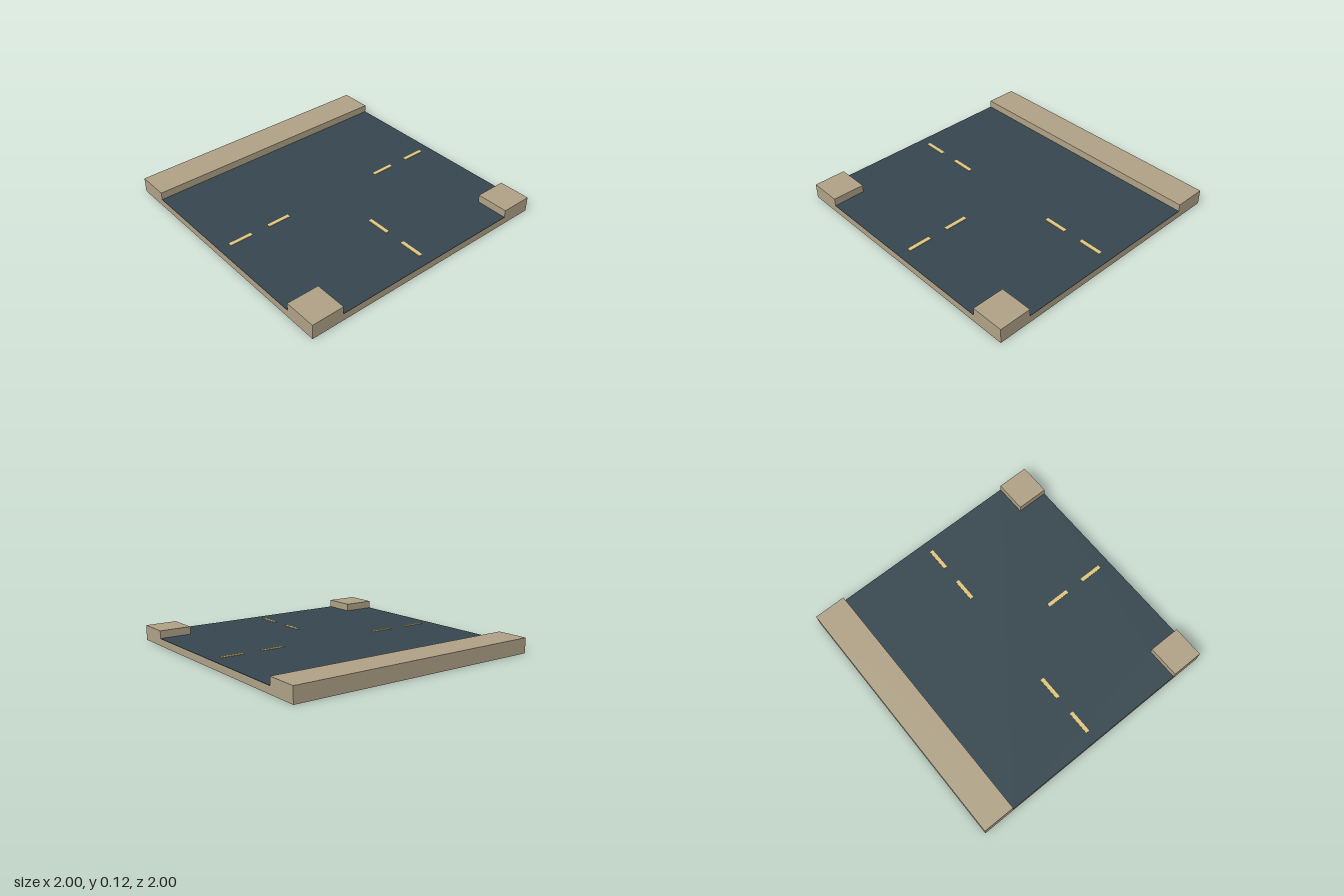
import * as THREE from 'three';

const BASE_TOP = 0.053, ROAD_TOP = 0.057, KERB_TOP = 0.115, DASH_TOP = 0.061;
const EDGE = 0.754; // where the road meets the raised pavement

export function createModel() {
  const group = new THREE.Group();
  const stone = new THREE.MeshStandardMaterial({ color: 0xb0a287 });
  const asphalt = new THREE.MeshStandardMaterial({ color: 0x37474f });
  const paint = new THREE.MeshStandardMaterial({ color: 0xe2c67c });

  const add = (name, geometry, material) => {
    const mesh = new THREE.Mesh(geometry, material);
    mesh.name = name;
    group.add(mesh);
    return mesh;
  };
  // Box given by its extents on each axis
  const block = (name, material, [x0, x1], [y0, y1], [z0, z1]) =>
    add(name, new THREE.BoxGeometry(x1 - x0, y1 - y0, z1 - z0), material)
      .position.set((x0 + x1) / 2, (y0 + y1) / 2, (z0 + z1) / 2);

  // Square base slab
  block('baseSlab', stone, [-1, 1], [0, BASE_TOP], [-1, 1]);

  // T-shaped road surface, drawn in plan (shape y = -z)
  const plan = new THREE.Shape([
    [-1, EDGE], [-1, -EDGE], [-EDGE, -EDGE], [-EDGE, -1],
    [EDGE, -1], [EDGE, -EDGE], [1, -EDGE], [1, EDGE],
  ].map(([x, y]) => new THREE.Vector2(x, y)));
  const road = new THREE.ExtrudeGeometry(plan, { depth: ROAD_TOP - BASE_TOP, bevelEnabled: false });
  road.rotateX(-Math.PI / 2).translate(0, BASE_TOP, 0);
  add('roadSurface', road, asphalt);

  // Raised pavement: long strip at the back, a block in each front corner
  const kerb = [BASE_TOP, KERB_TOP];
  block('backPavement', stone, [-1, 1], kerb, [-1, -EDGE]);
  block('leftCornerPavement', stone, [EDGE, 1], kerb, [EDGE, 1]);
  block('rightCornerPavement', stone, [-1, -EDGE], kerb, [EDGE, 1]);

  // Two painted dashes on each of the three arms
  const width = [-0.014, 0.014], height = [ROAD_TOP - 0.002, DASH_TOP];
  for (const [a, b] of [[0.41, 0.59], [0.735, 0.915]]) {
    block('leftLaneDash', paint, [a, b], height, width);
    block('rightLaneDash', paint, [-b, -a], height, width);
    block('frontLaneDash', paint, width, height, [a, b]);
  }
  return group;
}
